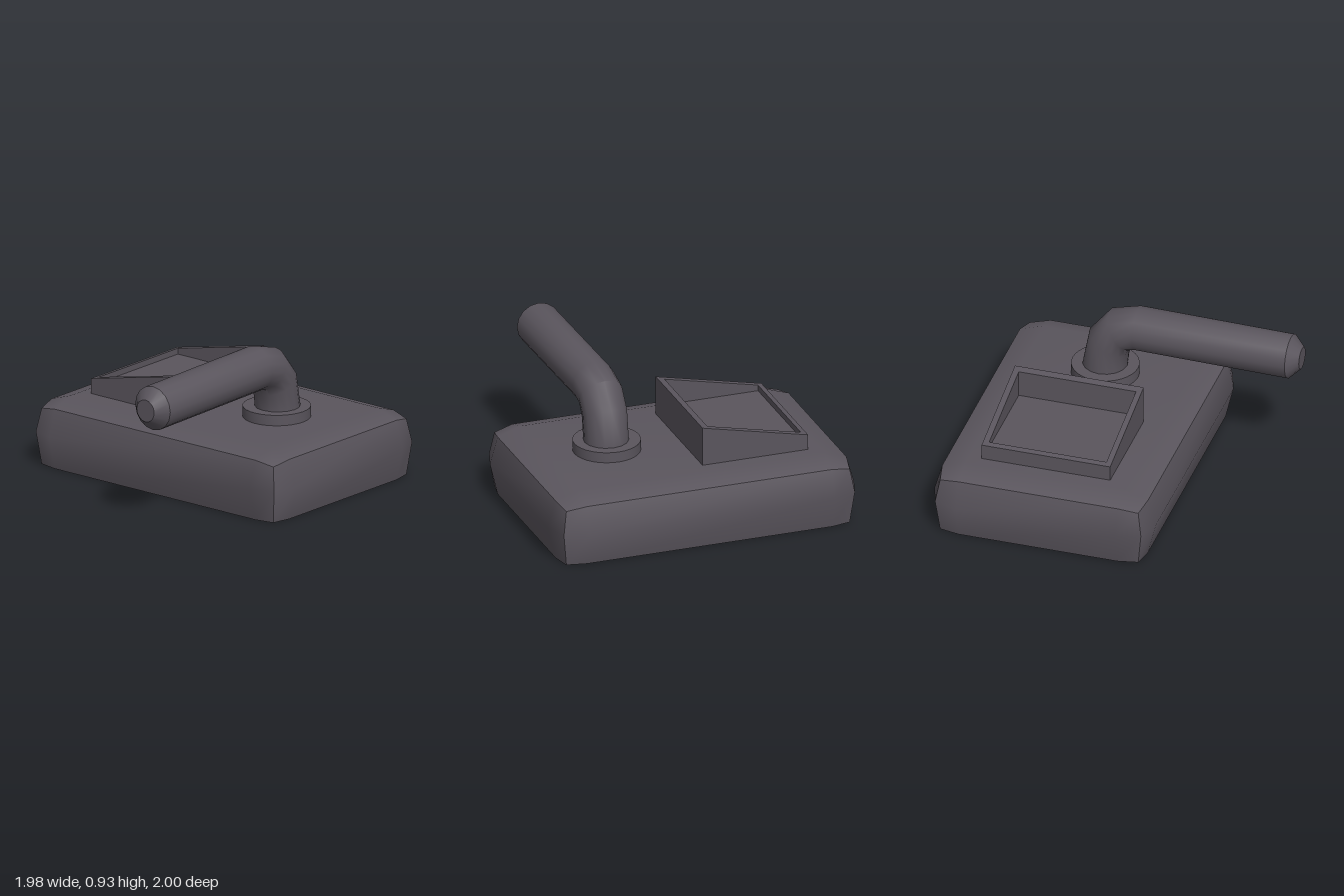
import * as THREE from 'three';
import { toCreasedNormals } from 'three/addons/utils/BufferGeometryUtils.js';

const CX = 0.275; // middle of the body across x

// Quad strips between consecutive rings of points, closed around each ring
function skin(rings) {
  const pos = [];
  const n = rings[0].length;
  for (let i = 0; i < rings.length - 1; i++) {
    for (let j = 0; j < n; j++) {
      const k = (j + 1) % n;
      const a = rings[i][j], b = rings[i][k], c = rings[i + 1][j], d = rings[i + 1][k];
      if (!a.equals(b)) pos.push(...a, ...b, ...c);
      if (!c.equals(d)) pos.push(...b, ...d, ...c);
    }
  }
  const geo = new THREE.BufferGeometry();
  geo.setAttribute('position', new THREE.Float32BufferAttribute(pos, 3));
  geo.computeVertexNormals();
  return geo;
}

// Hollow body: each face bulges out from its creased edges, bottom left open
function bodyGeometry() {
  const geo = new THREE.BoxGeometry(2, 2, 2, 3, 2, 3);
  const p = geo.attributes.position;
  for (let i = 0; i < p.count; i++) {
    const v = [p.getX(i), p.getY(i), p.getZ(i)];
    const edge = v.map((c) => Math.abs(c) > 0.9);
    const others = edge.filter(Boolean).length - 1;
    const inset = [0, 0.05, 0.075][others];
    const x = Math.sign(v[0]) * (edge[0] ? 0.71 - inset : 0.51);
    const z = Math.sign(v[2]) * (edge[2] ? 1 - inset : 0.8);
    const y = !edge[1] ? 0.21 : v[1] < 0 ? 0 : 0.433 - inset;
    p.setXYZ(i, x + CX, y, z);
  }
  const bottom = geo.groups[3];
  geo.setIndex([...geo.index.array].filter((_, i) => i < bottom.start || i >= bottom.start + bottom.count));
  geo.clearGroups();
  geo.computeVertexNormals();
  return geo;
}

// Bent round pipe with a bevelled free end and an open foot
function pipeGeometry() {
  // x, y, angle of the ring's outer side in degrees, radius
  const stations = [
    [-0.99, 0.772, 90, 0],
    [-0.99, 0.772, 90, 0.07],
    [-0.92, 0.773, 90, 0.14],
    [0.06, 0.79, 90, 0.14],
    [0.175, 0.76, 58, 0.14],
    [0.245, 0.665, 27, 0.14],
    [0.272, 0.5, 2, 0.14],
    [0.275, 0.38, 0, 0.14],
  ];
  const sides = 16;
  const rings = stations.map(([x, y, deg, r]) => {
    const a = THREE.MathUtils.degToRad(deg);
    return Array.from({ length: sides }, (_, j) => {
      const t = (j / sides) * Math.PI * 2;
      return new THREE.Vector3(
        x + r * Math.cos(t) * Math.cos(a),
        y + r * Math.cos(t) * Math.sin(a),
        0.43 + r * Math.sin(t)
      );
    });
  });
  return toCreasedNormals(skin(rings), 0.72);
}

// Sloping open tray: outer wall, rim, inner wall, flat floor
function trayGeometry() {
  const slope = (z) => 0.53 + ((z + 0.73) / 0.69) * 0.152;
  const loop = (x0, x1, z0, z1, y) =>
    [[x0, z1], [x1, z1], [x1, z0], [x0, z0]].map(([x, z]) => new THREE.Vector3(x, y ?? slope(z), z));
  const outer = [-0.12, 0.705, -0.73, -0.04];
  const inner = [-0.085, 0.667, -0.695, -0.085];
  const middle = [0.291, 0.291, -0.39, -0.39];
  return skin([
    loop(...outer, 0.427),
    loop(...outer),
    loop(...inner),
    loop(...inner, 0.5),
    loop(...middle, 0.5),
  ]);
}

export function createModel() {
  const group = new THREE.Group();
  const darkGrey = new THREE.MeshStandardMaterial({ color: 0x5a555d });
  darkGrey.name = 'darkGrey';
  darkGrey.side = THREE.DoubleSide;

  const add = (name, geometry) => {
    const mesh = new THREE.Mesh(geometry, darkGrey);
    mesh.name = name;
    group.add(mesh);
    return mesh;
  };

  add('body', bodyGeometry());
  add('pipe', pipeGeometry());
  add('tray', trayGeometry());

  // Collar around the foot of the pipe
  const profile = [[0.21, 0.43], [0.21, 0.5], [0.12, 0.5]].map(([r, y]) => new THREE.Vector2(r, y));
  const collar = add('collar', toCreasedNormals(new THREE.LatheGeometry(profile, 32), 0.6));
  collar.position.set(0.27, 0, 0.425);

  return group;
}
